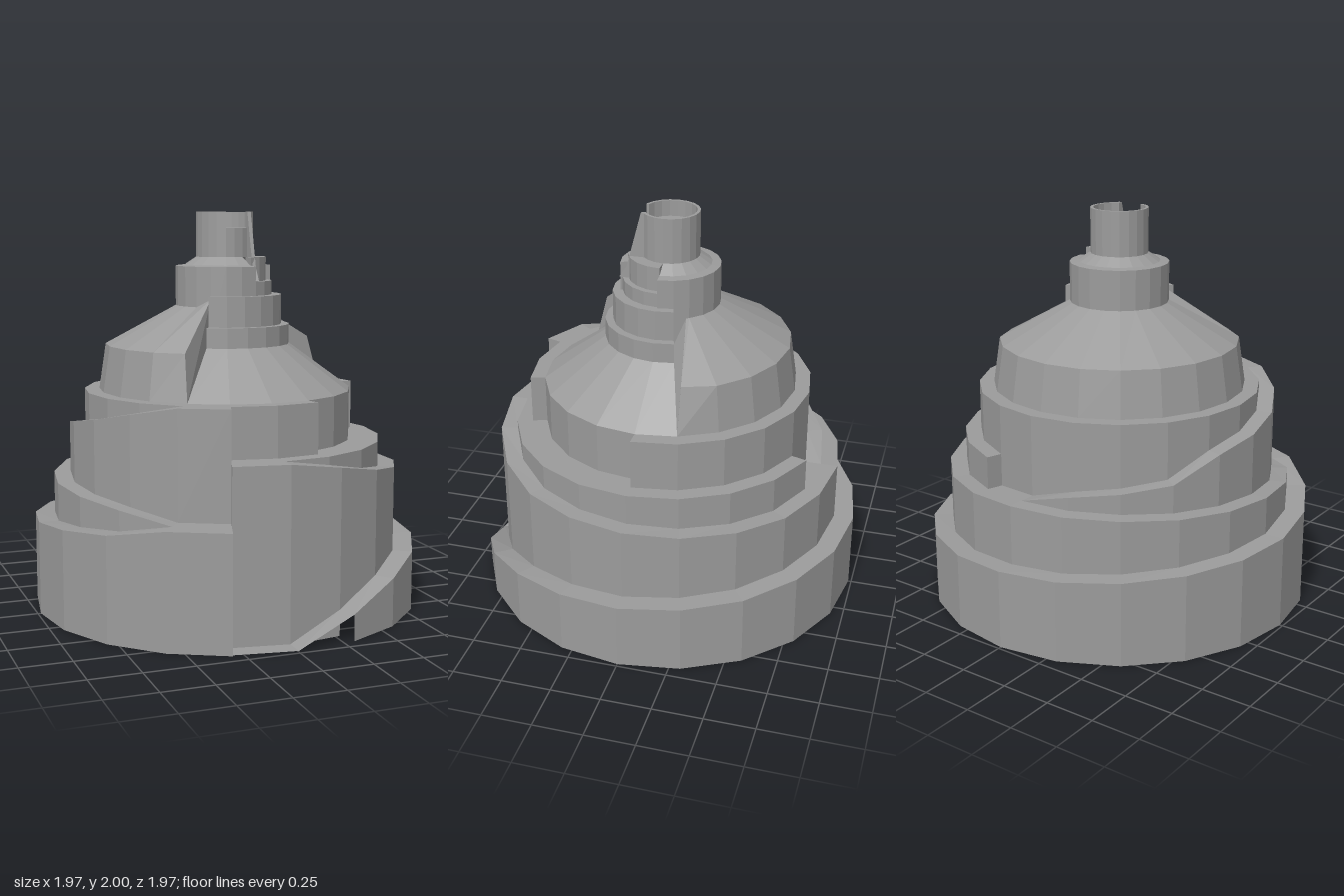
import * as THREE from 'three';

const mat = new THREE.MeshStandardMaterial({ color: 0x9b9b9b, flatShading: true, side: THREE.DoubleSide });
const SIDES = 20;

// Point at radius r, height y; index i counts 18 degree steps from the front (+z) towards +x
const at = (i, [r, y, shift = 0]) => {
  const a = ((i + shift) * 2 * Math.PI) / SIDES;
  return [Math.sin(a) * r, y, Math.cos(a) * r];
};

// Sweep a profile of [radius, height, angle shift] from step i0 to i1, with optional end walls
function sector(name, i0, i1, profile, startCap, endCap) {
  const pos = [];
  const tri = (a, b, c) => pos.push(...a, ...b, ...c);
  for (let i = i0; i < i1; i++) {
    const p = profile(i).map(q => at(i, q));
    const n = profile(i + 1).map(q => at(i + 1, q));
    for (let j = 0; j < p.length - 1; j++) {
      tri(p[j], n[j], n[j + 1]);
      tri(p[j], n[j + 1], p[j + 1]);
    }
  }
  const cap = (i, pts, flip) => {
    const p = pts.map(q => at(i, q));
    for (let j = 1; j < p.length - 1; j++) {
      if (flip) tri(p[0], p[j + 1], p[j]);
      else tri(p[0], p[j], p[j + 1]);
    }
  };
  if (startCap) cap(i0, startCap, true);
  if (endCap) cap(i1, endCap, false);
  const geo = new THREE.BufferGeometry();
  geo.setAttribute('position', new THREE.Float32BufferAttribute(pos, 3));
  geo.computeVertexNormals();
  const mesh = new THREE.Mesh(geo, mat);
  mesh.name = name;
  return mesh;
}

// Rectangular radial end wall
const wall = (rOut, rIn, y0, y1) => [[rOut, y0], [rOut, y1], [rIn, y1], [rIn, y0]];

// Ramp heights at each 18 degree step
const h1 = [0, 0.13, 0.24, 0.30, 0.325, 0.335, 0.35, 0.36, 0.375, 0.385, 0.40,
  0.41, 0.425, 0.44, 0.455, 0.47, 0.495, 0.52, 0.57, 0.57];
const h2 = [0.855, 0.815, 0.765, 0.73, 0.715, 0.70, 0.69, 0.685, 0.68, 0.69, 0.70,
  0.695, 0.69, 0.68, 0.67, 0.66, 0.645, 0.62, 0.57, 0.57];
// Third ramp, starting at step 10
const h3 = [0.70, 0.76, 0.79, 0.82, 0.93, 0.97, 1.01, 1.06, 1.105, 1.105];

export function createModel() {
  const g = new THREE.Group();
  g.name = 'spiralTower';
  const add = (...args) => g.add(sector(...args));
  const R1 = 0.985, R2 = 0.885, R3 = 0.8, R4 = 0.72, R5 = 0.645, TERRACE = 1.105;

  // Lowest ramp, its open foot and its landing
  add('rampFoot', -1, 1, i => {
    const y = Math.max(h1[Math.max(i, 0)], 0.005);
    return [[R1, y], [R2, y]];
  });
  add('lowerRamp', 1, 18, i => [[R1, 0], [R1, h1[i]], [R2, h1[i]]]);
  add('lowerLanding', 18, 19, () => [[R1, 0], [R1, 0.57], [R3, 0.57]], null, wall(R1, R2, 0, 0.57));

  // Second ramp, climbing the opposite way, with its landing at the front
  add('middleRampEnd', 0, 1, i => [[R2, 0], [R2, h2[i]], [R3, h2[i]]]);
  add('middleRamp', 1, 18, i => [[R2, h1[i]], [R2, h2[i]], [R3, h2[i]]]);
  add('middleLanding', -1, 0, () => [[R2, 0], [R2, 0.855], [R4, 0.855]], wall(R2, R4, 0.57, 0.855));

  // Third tier: level walk on one side, ramp on the other
  const walk = (i0, i1, rIn, end) =>
    add('upperWalk', i0, i1, i => [[R3, h2[i]], [R3, 0.855], [rIn, 0.855]], null, end);
  walk(0, 1, R4);
  walk(1, 5, R5);
  walk(5, 9, R4, wall(R3, R4, h2[9], 0.855));
  add('walkEndFloor', 9, 10, i => [[R3, h2[i]], [R4, h2[i]]]);
  add('upperRamp', 10, 19, i => [[R3, h2[i]], [R3, h3[i - 10]], [R4, h3[i - 10]]],
    null, wall(R3, R4, 0.57, TERRACE));

  // Terrace wall with a recessed stretch
  const recessEnd = wall(R4, R5, 0.855, TERRACE);
  add('terraceFront', -1, 1, () => [[R4, 0.855], [R4, TERRACE], [R5, TERRACE]], null, recessEnd);
  add('terraceRecess', 1, 5, () => [[R5, 0.855], [R5, TERRACE]]);
  add('terraceSide', 5, 9, () => [[R4, 0.855], [R4, TERRACE], [R5, TERRACE]], recessEnd);
  add('terraceBack', 9, 19, i => [[R4, i < 10 ? h2[9] : h3[i - 10]], [R4, TERRACE], [R5, TERRACE]]);

  // Low cone in front, tall roofed drum behind
  add('lowRoof', -2, 6, () => [[R5, TERRACE], [0.33, 1.335]]);
  const drum = i => {
    if (i === 6) return [[R5, TERRACE], [0.585, 1.335, 0.11], [0.25, 1.53, 0.8]];
    if (i === 18) return [[R5, TERRACE], [0.59, 1.335, -0.15], [0.25, 1.57]];
    return [[R5, TERRACE], [0.61, 1.335], [0.25, 1.53]];
  };
  const drumEnd = i => [...drum(i), [0.25, 1.39], [0.33, 1.335]];
  add('tallDrum', 6, 18, drum, drumEnd(6), drumEnd(18));

  // Stepped collars in front
  add('lowerCollar', -2, 6, () => [[0.33, 1.335], [0.33, 1.435], [0.29, 1.435]],
    wall(0.33, 0.25, 1.335, 1.435), wall(0.33, 0.25, 1.335, 1.435));
  add('middleCollar', -2, 6, () => [[0.29, 1.435], [0.29, 1.585], [0.24, 1.585]],
    wall(0.29, 0.2, 1.435, 1.585), wall(0.29, 0.2, 1.435, 1.585));

  // Neck: stepped on one side, plain with a sloped shoulder elsewhere
  add('neckSteps', 1, 5, () => [[0.24, 1.585], [0.24, 1.655], [0.21, 1.655], [0.21, 1.775], [0.145, 1.775]],
    null, wall(0.21, 0.145, 1.655, 1.775));
  const neckEnd = [[0.25, 1.4], [0.25, 1.73], [0.205, 1.735], [0.145, 1.775], [0.145, 1.4]];
  add('neck', 5, 21, () => neckEnd.slice(0, 4), neckEnd, neckEnd);

  // Hollow crown with a gap at the front
  const crownEnd = wall(0.145, 0.13, 1.92, 2);
  add('crown', 2, 19, () => [[0.145, 1.775], [0.145, 2], [0.13, 2], [0.13, 1.92]], crownEnd, crownEnd);
  add('crownSill', -1, 2, () => [[0.145, 1.775], [0.145, 1.92], [0.13, 1.92]]);
  add('crownFloor', 0, 20, () => [[0.13, 1.92], [0, 1.92]]);

  // Sloping fin beside the gap
  const side = new THREE.Shape([[0.1, 1.66], [0.24, 1.66], [0.2, 1.72], [0.125, 2], [0.1, 2]]
    .map(([z, y]) => new THREE.Vector2(-z, y)));
  const fin = new THREE.Mesh(new THREE.ExtrudeGeometry(side, { depth: 0.018, bevelEnabled: false }), mat);
  fin.name = 'crownFin';
  fin.rotation.y = Math.PI / 2;
  fin.position.x = 0.075;
  g.add(fin);

  return g;
}
